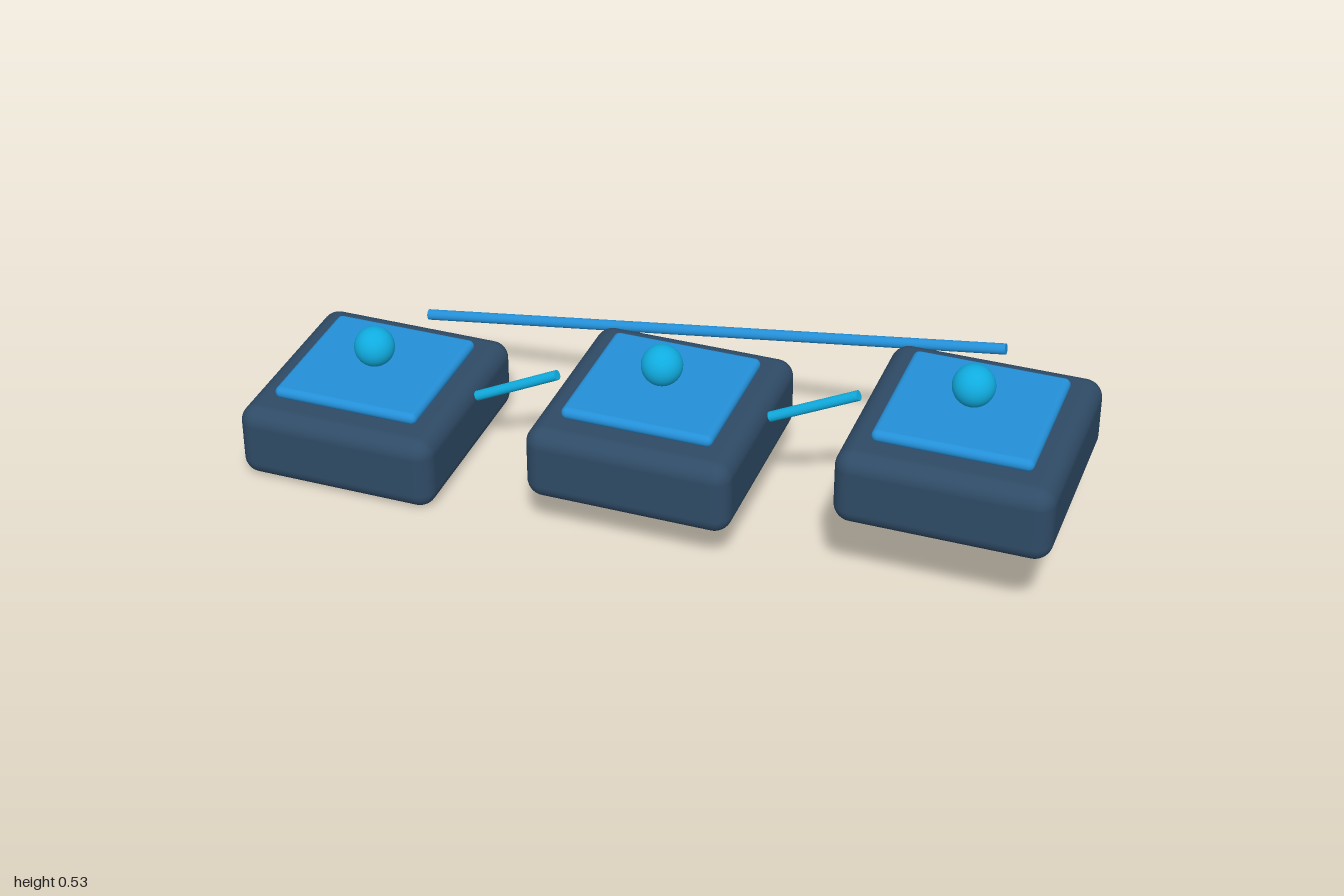
import * as THREE from 'three';
import { RoundedBoxGeometry } from 'three/addons/geometries/RoundedBoxGeometry.js';

const flat = (name, color) => new THREE.MeshStandardMaterial({ name, color });

export function createModel() {
  const model = new THREE.Group();
  model.name = 'steppedBlocks';

  const navy = flat('navy', 0x2f4b66);
  const blue = flat('blue', 0x2490d8);
  const cyan = flat('cyan', 0x10ace0);

  const Z = 0.033; // centre line of the blocks
  const RISE = 0.1067; // height gained per step
  const PITCH = 0.7467; // spacing of the blocks

  const add = (name, geometry, material, x, y, z, parent = model) => {
    const mesh = new THREE.Mesh(geometry, material);
    mesh.name = name;
    mesh.position.set(x, y, z);
    parent.add(mesh);
    return mesh;
  };

  // Straight round bar between two points
  const addBar = (name, a, b, radius, material) => {
    const dir = b.clone().sub(a);
    const mid = a.clone().add(b).multiplyScalar(0.5);
    const bar = add(name, new THREE.CylinderGeometry(radius, radius, dir.length(), 24), material, mid.x, mid.y, mid.z);
    bar.quaternion.setFromUnitVectors(new THREE.Vector3(0, 1, 0), dir.normalize());
  };

  const blockGeo = new RoundedBoxGeometry(0.505, 0.187, 0.533, 6, 0.043);
  const padGeo = new RoundedBoxGeometry(0.373, 0.03, 0.373, 5, 0.0149);
  const ballGeo = new THREE.SphereGeometry(0.05, 32, 20);

  // Three rising blocks, each with a pad and a ball on top
  for (let i = 0; i < 3; i++) {
    const step = new THREE.Group();
    step.name = `step${i + 1}`;
    step.position.set((i - 1) * PITCH, i * RISE, Z);
    add('block', blockGeo, navy, 0, 0.0935, 0, step);
    add('pad', padGeo, blue, 0, 0.201, 0, step);
    add('ball', ballGeo, cyan, 0, 0.266, 0, step);
    model.add(step);
  }

  // Short sloping links between neighbouring blocks
  for (let i = 0; i < 2; i++) {
    const x = (i - 0.5) * PITCH;
    const y = 0.232 + i * RISE;
    addBar('link',
      new THREE.Vector3(x - 0.106, y - 0.053, Z - 0.003),
      new THREE.Vector3(x + 0.106, y + 0.053, Z - 0.003), 0.0125, cyan);
  }

  // Long rail behind the blocks
  addBar('backRail',
    new THREE.Vector3(-PITCH, 0.173, -0.287),
    new THREE.Vector3(PITCH, 0.387, -0.287), 0.0133, blue);

  return model;
}
